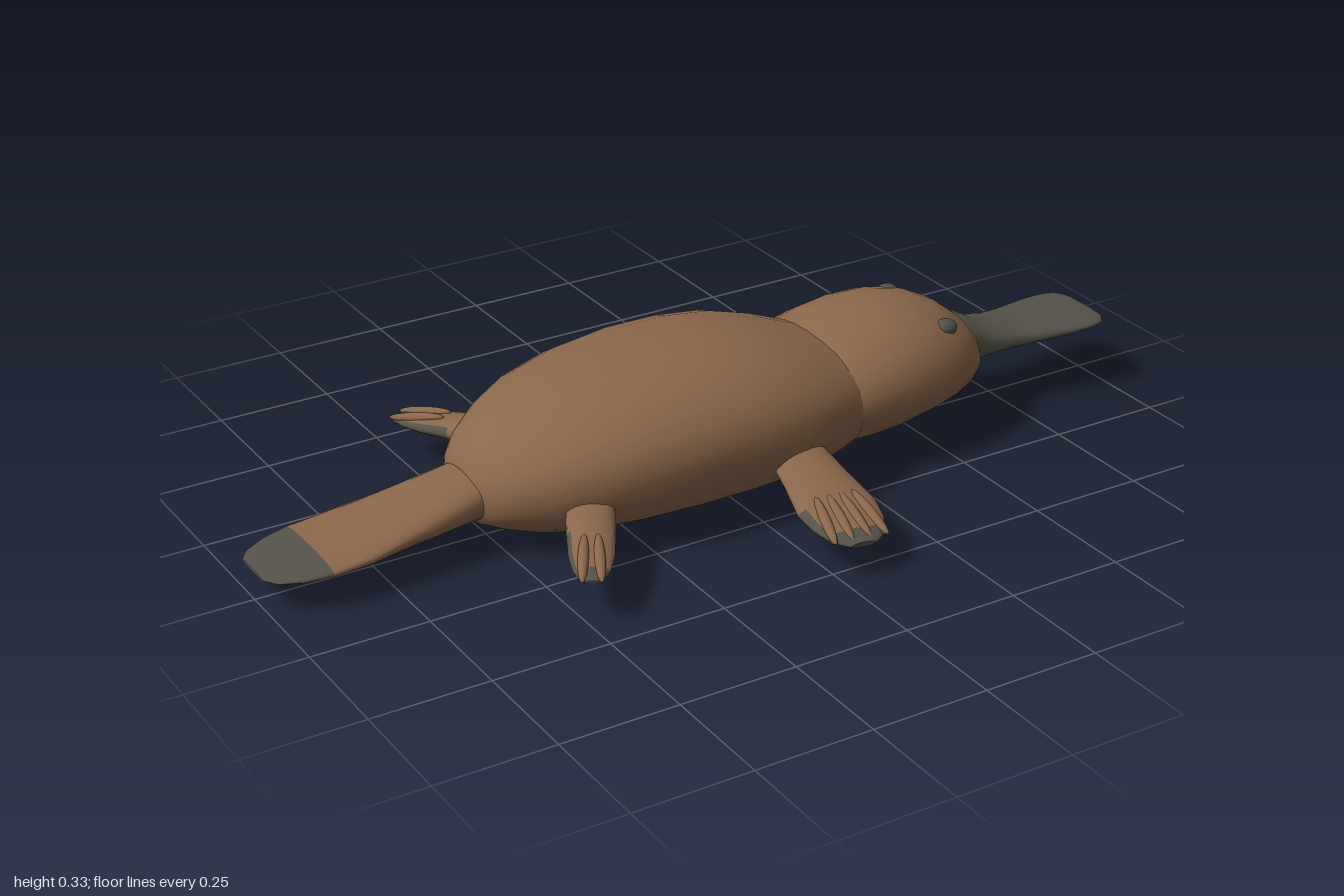
import * as THREE from 'three';

const fur = new THREE.MeshStandardMaterial({ name: 'brown fur', color: 0x8a674b });
const dark = new THREE.MeshStandardMaterial({ name: 'dark grey skin', color: 0x55524a });

// Skin along x through sections [x, bottom, top, halfWidth, widest height].
// isDark(x, angle) picks the faces that take the dark material.
function loft(name, sections, { material = fur, power = 2, sides = 28, isDark = () => false } = {}) {
  const pos = [], plain = [], painted = [];
  const bend = (v) => Math.sign(v) * Math.abs(v) ** (2 / power);
  const ring = ([x, lo, hi, w, mid = (lo + hi) / 2]) => {
    for (let j = 0; j < sides; j++) {
      const a = (j / sides) * Math.PI * 2, s = bend(Math.sin(a));
      pos.push(x, mid + s * (s > 0 ? hi - mid : mid - lo), w * bend(Math.cos(a)));
    }
  };
  sections.forEach(ring);
  for (let i = 0; i < sections.length - 1; i++) {
    for (let j = 0; j < sides; j++) {
      const k = (j + 1) % sides, a = i * sides, b = a + sides;
      const x = (sections[i][0] + sections[i + 1][0]) / 2;
      const list = isDark(x, ((j + 0.5) / sides) * Math.PI * 2) ? painted : plain;
      list.push(a + j, b + j, b + k, a + j, b + k, a + k);
    }
  }
  // End caps with their own vertices, so the rims stay crisp
  [sections[0], sections[sections.length - 1]].forEach((s, end) => {
    const base = pos.length / 3;
    ring(s);
    pos.push(s[0], s[4] ?? (s[1] + s[2]) / 2, 0);
    for (let j = 0; j < sides; j++) {
      const k = (j + 1) % sides;
      const list = isDark(s[0], Math.PI / 2) ? painted : plain;
      list.push(base + sides, base + (end ? k : j), base + (end ? j : k));
    }
  });
  const geo = new THREE.BufferGeometry();
  geo.setAttribute('position', new THREE.Float32BufferAttribute(pos, 3));
  geo.setIndex([...plain, ...painted]);
  geo.addGroup(0, plain.length, 0);
  geo.addGroup(plain.length, painted.length, 1);
  geo.computeVertexNormals();
  const mesh = new THREE.Mesh(geo, painted.length ? [material, dark] : material);
  mesh.name = name;
  return mesh;
}

function ellipsoid(name, material, radii, at) {
  const mesh = new THREE.Mesh(new THREE.SphereGeometry(1, 16, 10), material);
  mesh.name = name;
  mesh.scale.set(...radii);
  mesh.position.set(...at);
  return mesh;
}

// A foot runs along its own +x, then is aimed from root to tip
function foot(name, side, root, tip, sections, darkFrom, toes) {
  const group = new THREE.Group();
  group.name = name;
  const [dx, dy, dz] = tip.map((v, i) => v - root[i]);
  group.rotation.order = 'YZX';
  group.rotation.y = -side * Math.atan2(dz, dx);
  group.rotation.z = Math.atan2(dy, Math.hypot(dx, dz));
  group.position.set(root[0], root[1], root[2] * side);
  // Dark tip and a dark rear edge
  group.add(loft('webbedFoot', sections, {
    sides: 20,
    isDark: (x, a) => x > darkFrom || (x > darkFrom * 0.6 && side * Math.cos(a) > 0.85),
  }));
  const length = sections[sections.length - 1][0];
  for (const t of toes) {
    const ridge = ellipsoid('toe', fur, [0.07, 0.01, 0.011], [length * 0.76, 0.013, t * 0.8]);
    ridge.rotation.set(0, -t * 2, -0.12);
    const claw = ellipsoid('claw', dark, [0.022, 0.008, 0.009], [length - 0.012 - Math.abs(t) * 0.45, 0, t * 0.85]);
    group.add(ridge, claw);
  }
  return group;
}

export function createModel() {
  const model = new THREE.Group();
  model.name = 'platypus';

  model.add(loft('body', [
    [-0.55, 0.065, 0.165, 0.07, 0.12],
    [-0.535, 0.05, 0.195, 0.105, 0.125],
    [-0.5, 0.036, 0.222, 0.145, 0.135],
    [-0.44, 0.02, 0.258, 0.19, 0.145],
    [-0.36, 0.009, 0.291, 0.23, 0.155],
    [-0.25, 0.003, 0.318, 0.256, 0.163],
    [-0.12, 0.003, 0.332, 0.269, 0.168],
    [0, 0.006, 0.331, 0.271, 0.168],
    [0.1, 0.01, 0.319, 0.263, 0.165],
    [0.19, 0.017, 0.294, 0.24, 0.16],
    [0.27, 0.028, 0.264, 0.206, 0.155],
  ], { power: 2.15 }));

  model.add(loft('head', [
    [0.255, 0.03, 0.262, 0.203, 0.155],
    [0.32, 0.03, 0.285, 0.208, 0.155],
    [0.4, 0.038, 0.301, 0.206, 0.155],
    [0.47, 0.05, 0.302, 0.198, 0.155],
    [0.54, 0.064, 0.286, 0.178, 0.155],
    [0.59, 0.079, 0.261, 0.155, 0.155],
    [0.63, 0.096, 0.23, 0.122, 0.155],
    [0.655, 0.112, 0.205, 0.085, 0.155],
    [0.662, 0.125, 0.19, 0.06, 0.155],
  ]));

  model.add(loft('bill', [
    [0.62, 0.115, 0.225, 0.09],
    [0.66, 0.118, 0.212, 0.082, 0.15],
    [0.7, 0.122, 0.19, 0.073, 0.147],
    [0.76, 0.125, 0.175, 0.074, 0.146],
    [0.82, 0.128, 0.167, 0.083, 0.146],
    [0.9, 0.132, 0.164, 0.096, 0.148],
    [0.95, 0.136, 0.162, 0.098, 0.149],
    [0.985, 0.139, 0.16, 0.09, 0.15],
    [1, 0.144, 0.157, 0.07, 0.15],
  ], { material: dark, power: 2.6 }));

  // Flat paddle tail with a dark upper tip
  model.add(loft('tail', [
    [-1, 0.064, 0.071, 0.05],
    [-0.98, 0.061, 0.074, 0.077],
    [-0.935, 0.06, 0.08, 0.1],
    [-0.88, 0.06, 0.088, 0.112],
    [-0.8, 0.06, 0.1, 0.112],
    [-0.65, 0.063, 0.135, 0.095],
    [-0.53, 0.065, 0.165, 0.082],
    [-0.45, 0.07, 0.17, 0.075],
  ], { power: 2.4, isDark: (x, a) => x < -0.88 && Math.sin(a) > 0 }));

  for (const side of [1, -1]) {
    const label = side > 0 ? 'right' : 'left';
    model.add(ellipsoid(label + 'Eye', dark, [0.028, 0.019, 0.022], [0.542, 0.249, side * 0.108]));
    model.add(foot(label + 'FrontFoot', side, [0.095, 0.122, 0.22], [0.045, 0.073, 0.545], [
      [0, -0.032, 0.03, 0.06],
      [0.1, -0.03, 0.028, 0.07],
      [0.2, -0.024, 0.022, 0.085],
      [0.25, -0.019, 0.017, 0.078],
      [0.285, -0.015, 0.012, 0.064],
      [0.31, -0.01, 0.009, 0.046],
      [0.325, -0.006, 0.006, 0.028],
    ], 0.285, [-0.06, -0.02, 0.02, 0.06]));
    model.add(foot(label + 'HindFoot', side, [-0.365, 0.115, 0.19], [-0.49, 0.088, 0.415], [
      [0, -0.028, 0.026, 0.05],
      [0.1, -0.026, 0.022, 0.048],
      [0.17, -0.02, 0.017, 0.045],
      [0.22, -0.013, 0.011, 0.036],
      [0.245, -0.008, 0.007, 0.024],
      [0.256, -0.004, 0.004, 0.012],
    ], 0.21, [-0.02, 0.02]));
  }
  return model;
}
